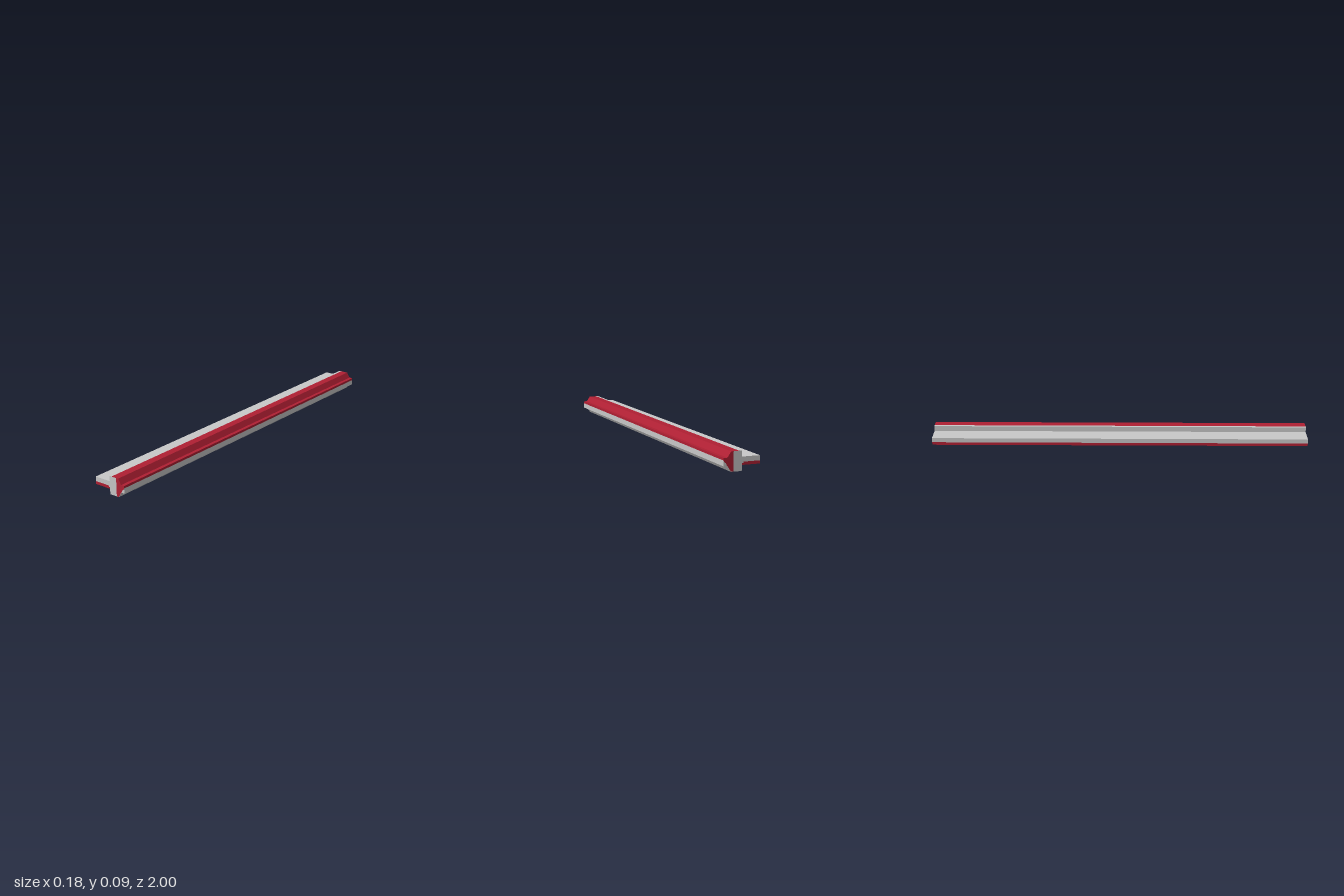
import * as THREE from 'three';

const LENGTH = 2;

export function createModel() {
  const group = new THREE.Group();
  group.name = 'profileStrip';
  const grey = new THREE.MeshStandardMaterial({ name: 'light grey', color: 0xc8c8c8 });
  const red = new THREE.MeshStandardMaterial({ name: 'deep red', color: 0xb01f33 });

  // Extrudes one zone of the cross-section along the full length
  function bar(name, material, points) {
    const shape = new THREE.Shape(points.map(([x, y]) => new THREE.Vector2(x, y)));
    const geometry = new THREE.ExtrudeGeometry(shape, { depth: LENGTH, bevelEnabled: false });
    geometry.translate(0, 0, -LENGTH / 2);
    const mesh = new THREE.Mesh(geometry, material);
    mesh.name = name;
    group.add(mesh);
  }

  // Flat flange: grey above, red below
  bar('flangeTop', grey, [[-0.092, 0.043], [-0.008, 0.043], [-0.008, 0.036], [0, 0.036], [0, 0.067], [-0.092, 0.067]]);
  bar('flangeUnderside', red, [[-0.092, 0.028], [0, 0.028], [0, 0.036], [-0.008, 0.036], [-0.008, 0.043], [-0.092, 0.043]]);

  // Upright head with a red strip over part of its top
  bar('headCore', grey, [[0, 0], [0.042, 0], [0.042, 0.0945], [0.013, 0.0945], [0.013, 0.095], [0, 0.095]]);
  bar('headTopStrip', red, [[0.013, 0.0945], [0.042, 0.0945], [0.042, 0.095], [0.013, 0.095]]);

  // Tapered side of the head, with a grey skin underneath
  bar('headTaper', red, [[0.042, 0.0006], [0.0546, 0.0006], [0.073, 0.029], [0.073, 0.067], [0.055, 0.095], [0.042, 0.095]]);
  bar('taperUnderside', grey, [[0.042, 0], [0.055, 0], [0.073, 0.028], [0.073, 0.029], [0.0546, 0.0006], [0.042, 0.0006]]);

  // Narrow tongue: red above, grey below
  bar('tongueTop', red, [[0.073, 0.029], [0.077, 0.033], [0.08, 0.042], [0.088, 0.047], [0.092, 0.055], [0.092, 0.067], [0.073, 0.067]]);
  bar('tongueUnderside', grey, [[0.073, 0.028], [0.092, 0.028], [0.092, 0.055], [0.088, 0.047], [0.08, 0.042], [0.077, 0.033], [0.073, 0.029]]);

  return group;
}
